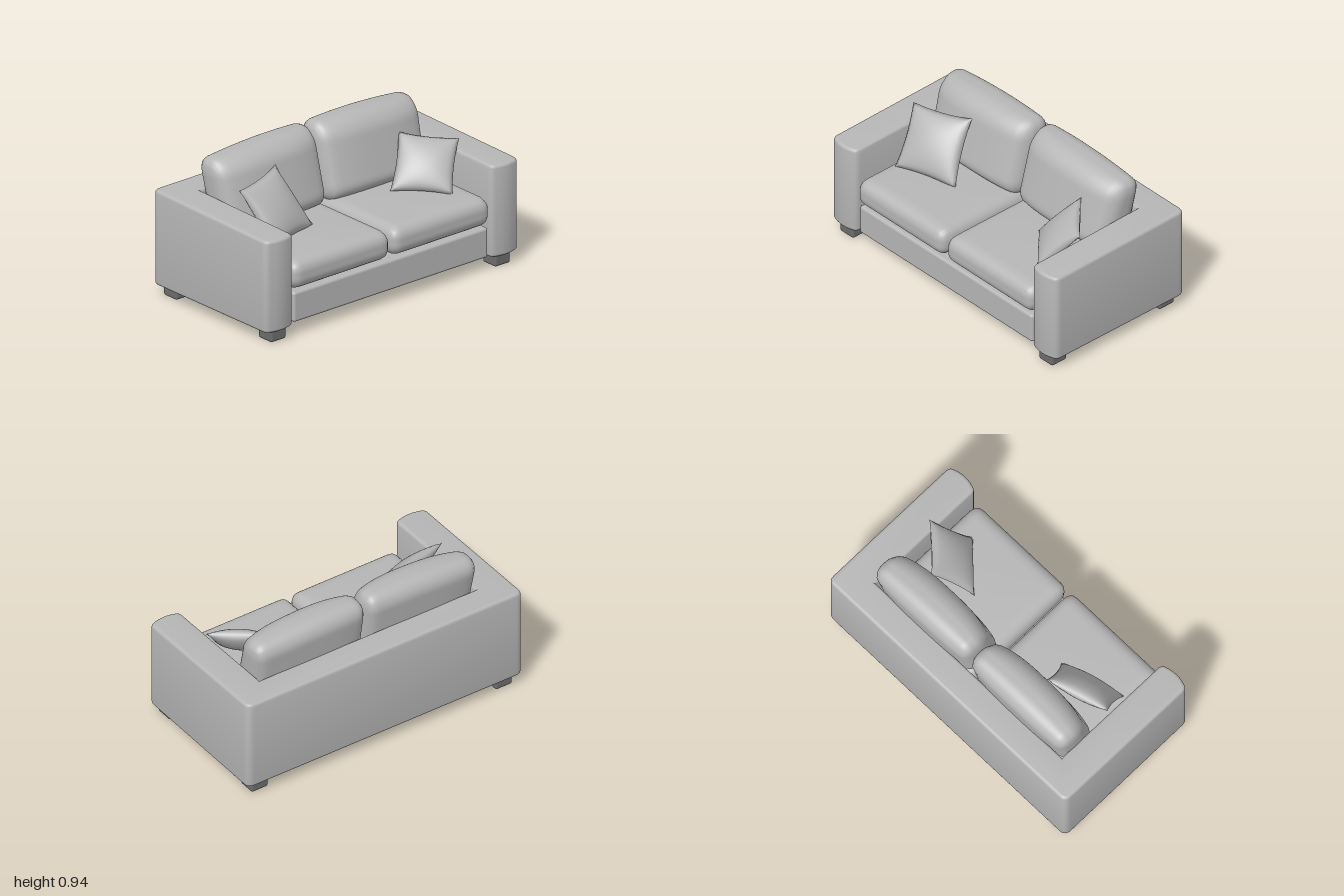
import * as THREE from 'three';
import { mergeVertices, mergeGeometries, toCreasedNormals } from 'three/addons/utils/BufferGeometryUtils.js';
import { RoundedBoxGeometry } from 'three/addons/geometries/RoundedBoxGeometry.js';

// Weld the corners and give the surface smooth normals
function smooth(geo) {
  geo.deleteAttribute('uv');
  geo.deleteAttribute('normal');
  const welded = mergeVertices(geo, 1e-5);
  welded.computeVertexNormals();
  return welded;
}

// Dense box with elliptical edges, then reshaped by a rule (p, u) with u in -1..1
function cushion(half, radius, rule) {
  const geo = new THREE.BoxGeometry(2, 2, 2, 26, 26, 26);
  const pos = geo.attributes.position;
  const u = new THREE.Vector3(), p = new THREE.Vector3();
  const inner = new THREE.Vector3(), d = new THREE.Vector3();
  for (let i = 0; i < pos.count; i++) {
    u.fromBufferAttribute(pos, i);
    p.copy(u).multiply(half);
    inner.copy(half).sub(radius);
    inner.set(
      THREE.MathUtils.clamp(p.x, -inner.x, inner.x),
      THREE.MathUtils.clamp(p.y, -inner.y, inner.y),
      THREE.MathUtils.clamp(p.z, -inner.z, inner.z));
    d.copy(p).sub(inner).divide(radius).normalize().multiply(radius);
    p.copy(inner).add(d);
    rule(p, u);
    pos.setXYZ(i, p.x, p.y, p.z);
  }
  return smooth(geo);
}

// Pillow stretched between four corners (top left, top right, bottom left, bottom right)
function pillow(corners, thickness) {
  const [tl, tr, bl, br] = corners.map(c => new THREE.Vector3(...c));
  const across = tr.clone().sub(tl).add(br).sub(bl);
  const up = tl.clone().sub(bl).add(tr).sub(br);
  const normal = across.cross(up).normalize();
  const sides = [1, -1].map(side => {
    const geo = new THREE.PlaneGeometry(2, 2, 20, 20);
    const pos = geo.attributes.position;
    for (let i = 0; i < pos.count; i++) {
      const a = pos.getX(i) * side, b = pos.getY(i);
      // edges draw in between the corners
      const u = a * (1 - 0.07 * (1 - b * b)), v = b * (1 - 0.07 * (1 - a * a));
      const top = tl.clone().lerp(tr, (u + 1) / 2);
      const p = bl.clone().lerp(br, (u + 1) / 2).lerp(top, (v + 1) / 2);
      const puff = Math.pow((1 - a * a) * (1 - b * b), 0.55);
      p.addScaledVector(normal, side * thickness * puff);
      pos.setXYZ(i, p.x, p.y, p.z);
    }
    return geo;
  });
  return smooth(mergeGeometries(sides));
}

// U-shaped plan of the two arms and the back, extruded upwards
function frameGeometry() {
  const s = new THREE.Shape();
  s.moveTo(-0.95, 0.53);
  s.lineTo(0.95, 0.53);
  s.quadraticCurveTo(1, 0.53, 1, 0.48);
  s.lineTo(1, -0.465);
  s.quadraticCurveTo(1, -0.505, 0.965, -0.512);
  s.quadraticCurveTo(0.89, -0.538, 0.815, -0.512);
  s.quadraticCurveTo(0.785, -0.505, 0.785, -0.47);
  s.lineTo(0.785, 0.34);
  s.lineTo(-0.785, 0.34);
  s.lineTo(-0.785, -0.47);
  s.quadraticCurveTo(-0.785, -0.505, -0.815, -0.512);
  s.quadraticCurveTo(-0.89, -0.538, -0.965, -0.512);
  s.quadraticCurveTo(-1, -0.505, -1, -0.465);
  s.lineTo(-1, 0.48);
  s.quadraticCurveTo(-1, 0.53, -0.95, 0.53);
  const bevel = 0.02;
  const geo = new THREE.ExtrudeGeometry(s, {
    depth: 0.605 - 2 * bevel, curveSegments: 6, bevelEnabled: true,
    bevelSize: bevel, bevelThickness: bevel, bevelOffset: -bevel, bevelSegments: 4,
  });
  geo.rotateX(-Math.PI / 2);
  geo.translate(0, 0.075 + bevel, 0);
  // the top rises gently towards the back
  const pos = geo.attributes.position;
  for (let i = 0; i < pos.count; i++) {
    if (pos.getY(i) > 0.4) pos.setY(i, pos.getY(i) - 0.02 * pos.getZ(i));
  }
  return toCreasedNormals(geo, 0.5);
}

export function createModel() {
  const fabric = new THREE.MeshStandardMaterial({ color: 0xb6b6b6 });
  fabric.name = 'grey fabric';
  const dark = new THREE.MeshStandardMaterial({ color: 0x6c6c6c });
  dark.name = 'dark leg';

  const sofa = new THREE.Group();
  sofa.name = 'sofa';
  const add = (name, geo, mat = fabric) => {
    const mesh = new THREE.Mesh(geo, mat);
    mesh.name = name;
    sofa.add(mesh);
    return mesh;
  };

  add('armsAndBack', frameGeometry());
  add('base', new RoundedBoxGeometry(1.54, 0.195, 0.86, 4, 0.018)).position.set(0, 0.18, 0.065);

  for (const side of [-1, 1]) {
    const label = side > 0 ? 'left' : 'right';

    // seat cushion with a slight crown and a bulging front
    add(label + 'SeatCushion', cushion(
      new THREE.Vector3(0.386, 0.092, 0.415), new THREE.Vector3(0.05, 0.075, 0.07),
      (p, u) => {
        const crown = (1 - u.x * u.x) * (1 - u.z * u.z);
        p.y += 0.38 + (u.y > 0 ? 0.012 * crown : 0);
        p.x = p.x * (1 - 0.012 * u.y * u.y) + side * 0.395;
        p.z += 0.098;
      }));

    // back cushion: leaning, thinner at the top and the ends
    add(label + 'BackCushion', cushion(
      new THREE.Vector3(0.385, 0.243, 0.155), new THREE.Vector3(0.05, 0.11, 0.135),
      (p, u) => {
        const t = p.y / 0.486 + 0.5;
        const out = u.x * side;
        const end = Math.pow(Math.abs(u.x), 3);
        const thin = (1.05 - 0.2 * t) * (1 - 0.28 * end);
        p.z = p.z * thin - 0.165 - 0.085 * t - 0.025 * end * t;
        p.y += 0.697 - t * (0.023 * out * out + 0.012 * out);
        p.x += side * (0.392 + 0.03 * t * Math.max(out, 0));
      }));

    // block feet
    for (const end of [-1, 1]) {
      add(label + (end > 0 ? 'Front' : 'Back') + 'Leg',
        new RoundedBoxGeometry(0.12, 0.09, 0.12, 3, 0.015), dark)
        .position.set(side * 0.887, 0.045, end * 0.433);
    }
  }

  add('rightThrowPillow', pillow([
    [-0.80, 0.80, 0.03], [-0.41, 0.825, -0.09], [-0.72, 0.475, 0.25], [-0.305, 0.475, 0.14],
  ], 0.065));
  add('leftThrowPillow', pillow([
    [0.565, 0.77, -0.09], [0.83, 0.735, 0.16], [0.36, 0.49, 0.07], [0.63, 0.475, 0.33],
  ], 0.06));

  return sofa;
}
